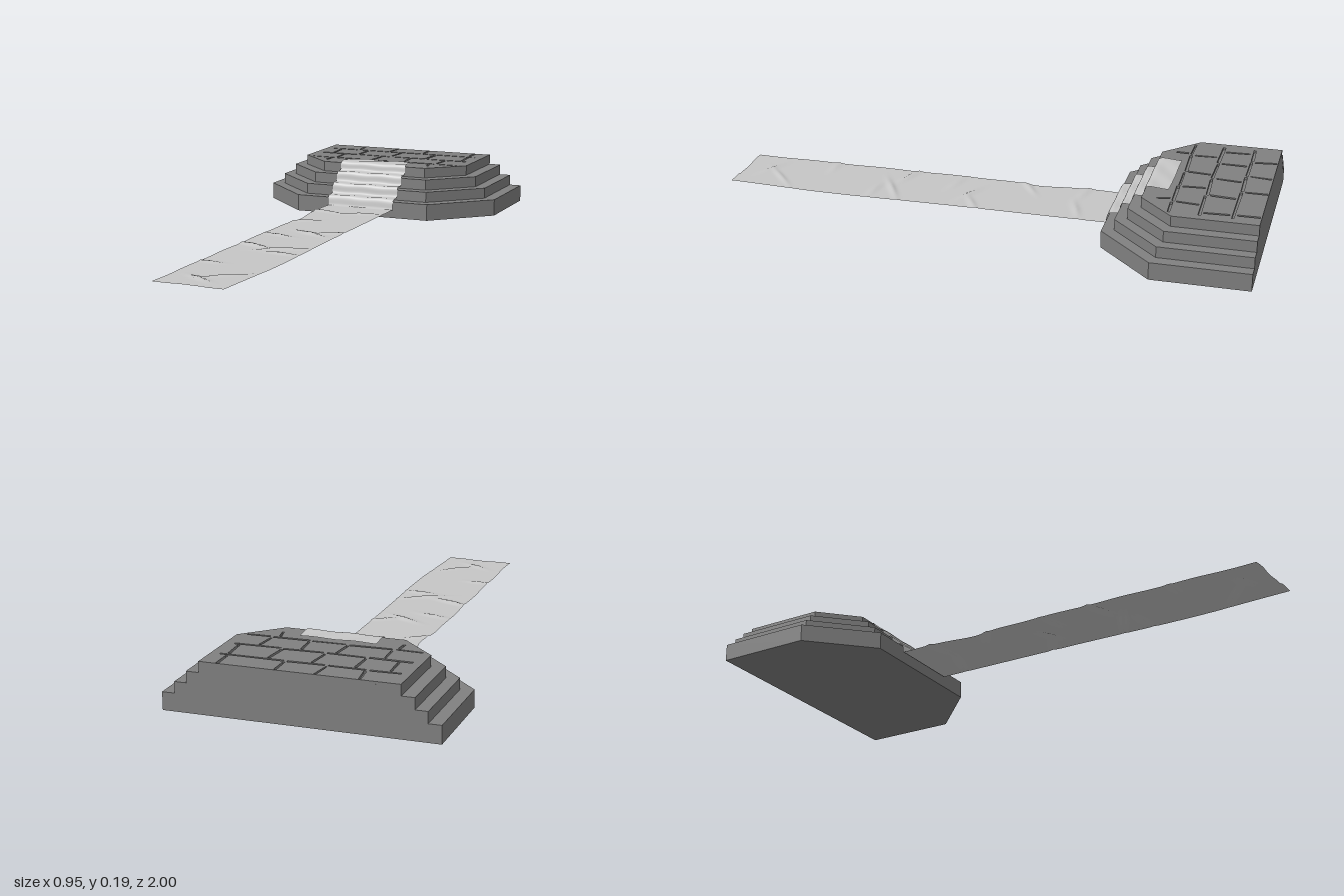
import * as THREE from 'three';

const BACK = 1; // back wall lies at z = -1 (shape y = -z)

// small seeded generator, returns -1..1
function seeded(seed) {
  return () => {
    seed = (seed * 16807) % 2147483647;
    return (seed / 2147483647) * 2 - 1;
  };
}

// half octagon: straight back, chamfered front corners
function tierShape(halfW, frontW, frontZ, sideZ) {
  return new THREE.Shape([
    [-frontW, -frontZ], [frontW, -frontZ], [halfW, -sideZ],
    [halfW, BACK], [-halfW, BACK], [-halfW, -sideZ],
  ].map(([x, y]) => new THREE.Vector2(x, y)));
}

function slab(shape, y0, y1) {
  const g = new THREE.ExtrudeGeometry(shape, { depth: y1 - y0, bevelEnabled: false });
  g.rotateX(-Math.PI / 2);
  g.translate(0, y0, 0);
  return g;
}

// cut irregular joints between paving stones into a shape
function cutJoints(shape) {
  const rnd = seeded(77);
  const groove = (x0, z0, x1, z1) => {
    const flat = Math.abs(x1 - x0) > Math.abs(z1 - z0);
    const w = 0.0042, j = () => rnd() * 0.0018;
    const tilt = rnd() * 0.004;
    const dx = flat ? 0 : w, dz = flat ? w : 0;
    const tx = flat ? 0 : tilt, tz = flat ? tilt : 0;
    const pts = [
      [x0 - dx + tx + j(), z0 - dz + tz + j()], [x1 - dx - tx + j(), z1 - dz - tz + j()],
      [x1 + dx - tx + j(), z1 + dz - tz + j()], [x0 + dx + tx + j(), z0 + dz + tz + j()],
    ];
    shape.holes.push(new THREE.Path(pts.map(([x, z]) => new THREE.Vector2(x, -z))));
  };
  const rows = [
    { z0: -0.995, z1: -0.905, xs: [-0.2, -0.06, 0.08, 0.28] },
    { z0: -0.905, z1: -0.79, xs: [-0.27, -0.155, -0.01, 0.14, 0.285] },
    { z0: -0.79, z1: -0.685, xs: [-0.21, -0.05, 0.08, 0.22] },
    { z0: -0.685, z1: -0.615, xs: [-0.225, 0.2] },
  ];
  rows.forEach(({ z0, z1, xs }, i) => {
    xs.forEach((x) => groove(x, z0 + (i ? 0.013 : 0), x, z1 - 0.013));
    if (i === rows.length - 1) return;
    const stops = [-0.315, ...xs.filter((x) => Math.abs(x) < 0.27), 0.315];
    for (let k = 0; k < stops.length - 1; k++) {
      groove(stops[k] + 0.006, z1, stops[k + 1] - 0.006, z1);
    }
  });
  return shape;
}

// cloth runner: flat along the ground, then draped up the steps
function runnerGeometry() {
  const rows = [];
  const FLAT = 150;
  for (let i = 0; i <= FLAT; i++) rows.push([0.995 - (1.43 * i) / FLAT, 0.033, 1]);
  const steps = [
    [-0.437, 0.036], [-0.443, 0.066], [-0.452, 0.073], [-0.476, 0.073],
    [-0.484, 0.078], [-0.489, 0.105], [-0.497, 0.113], [-0.518, 0.113],
    [-0.526, 0.118], [-0.531, 0.144], [-0.539, 0.152], [-0.56, 0.152],
    [-0.568, 0.157], [-0.573, 0.18], [-0.582, 0.187], [-0.62, 0.187], [-0.66, 0.186],
  ];
  const drape = new THREE.CatmullRomCurve3(steps.map(([z, y]) => new THREE.Vector3(0, y, z)));
  for (let i = 0; i <= 80; i++) {
    const p = drape.getPoint(i / 80);
    rows.push([p.z, p.y, 0]);
  }

  // creases: centre x, centre z, slope, length, height
  const creases = [
    [-0.1, -0.31, 0.25, 0.07, 0.006], [0.05, -0.31, -0.3, 0.06, 0.006],
    [-0.1, -0.1, -0.6, 0.05, 0.006], [0.02, 0.1, 0.5, 0.06, 0.007],
    [0.09, 0.07, -0.5, 0.05, 0.006], [-0.07, 0.17, 0.3, 0.06, 0.005],
    [-0.08, 0.36, 0.4, 0.07, 0.008], [0.04, 0.39, -0.5, 0.07, 0.008],
    [0.07, 0.45, 0.15, 0.06, 0.006], [-0.1, 0.66, 0.1, 0.05, 0.005],
    [0.04, 0.83, -0.8, 0.06, 0.006], [-0.02, 0.89, 0.6, 0.05, 0.006],
  ];
  const height = (x, z) => creases.reduce((sum, [cx, cz, slope, len, h]) => {
    const dx = (x - cx) / len, dz = (z - cz - slope * (x - cx)) / 0.012;
    return sum + h * Math.exp(-dx * dx - dz * dz);
  }, 0);

  const COLS = 28;
  const geo = new THREE.PlaneGeometry(1, 1, COLS, rows.length - 1);
  const pos = geo.attributes.position;
  rows.forEach(([z, y, flat], r) => {
    // wavering side edges
    const left = -0.139 + flat * (0.016 * Math.exp(-(((z + 0.13) / 0.08) ** 2)) + 0.002 * Math.sin(z * 23));
    const right = 0.133 + flat * (0.007 * Math.exp(-(((z - 0.55) / 0.25) ** 2)) - 0.012 * Math.max(0, z - 0.7) / 0.3);
    for (let c = 0; c <= COLS; c++) {
      const u = c / COLS;
      const x = left + (right - left) * u;
      const lift = flat ? height(x, z) : 0.0012 * Math.sin(x * 45 + z * 60);
      // uneven far hem, with a notch and a pulled corner
      const hem = r === 0 ? (u > 0.72 ? 0 : -0.008 + 0.002 * Math.sin(x * 50)) : 0;
      const topHem = r === rows.length - 1 ? 0.018 * Math.max(0, u - 0.8) : 0;
      // rows run from the top of the steps to the far end
      pos.setXYZ((rows.length - 1 - r) * (COLS + 1) + c, x, y + lift, z + hem + topHem);
    }
  });
  geo.computeVertexNormals();
  return geo;
}

export function createModel() {
  const stone = new THREE.MeshStandardMaterial({ color: 0x808080 });
  stone.name = 'greyStone';
  const cloth = new THREE.MeshStandardMaterial({ color: 0xc6c6c6, side: THREE.DoubleSide });
  cloth.name = 'paleCloth';

  const model = new THREE.Group();
  model.name = 'steppedDais';
  const add = (name, geo, mat) => {
    const mesh = new THREE.Mesh(geo, mat);
    mesh.name = name;
    model.add(mesh);
  };

  // stacked steps: half width, front half width, front z, side corner z, bottom, top
  [
    [0.475, 0.27, -0.447, -0.652, 0, 0.063],
    [0.43, 0.25, -0.49, -0.668, 0.063, 0.103],
    [0.387, 0.233, -0.532, -0.684, 0.103, 0.143],
    [0.342, 0.213, -0.575, -0.7, 0.143, 0.172],
  ].forEach(([hw, fw, fz, sz, y0, y1], i) => {
    add(`step${i + 1}`, slab(tierShape(hw, fw, fz, sz), y0, y1), stone);
  });

  // paved floor with recessed joints
  add('pavedFloor', slab(cutJoints(tierShape(0.342, 0.213, -0.575, -0.7)), 0.172, 0.181), stone);

  add('carpetRunner', runnerGeometry(), cloth);
  return model;
}
